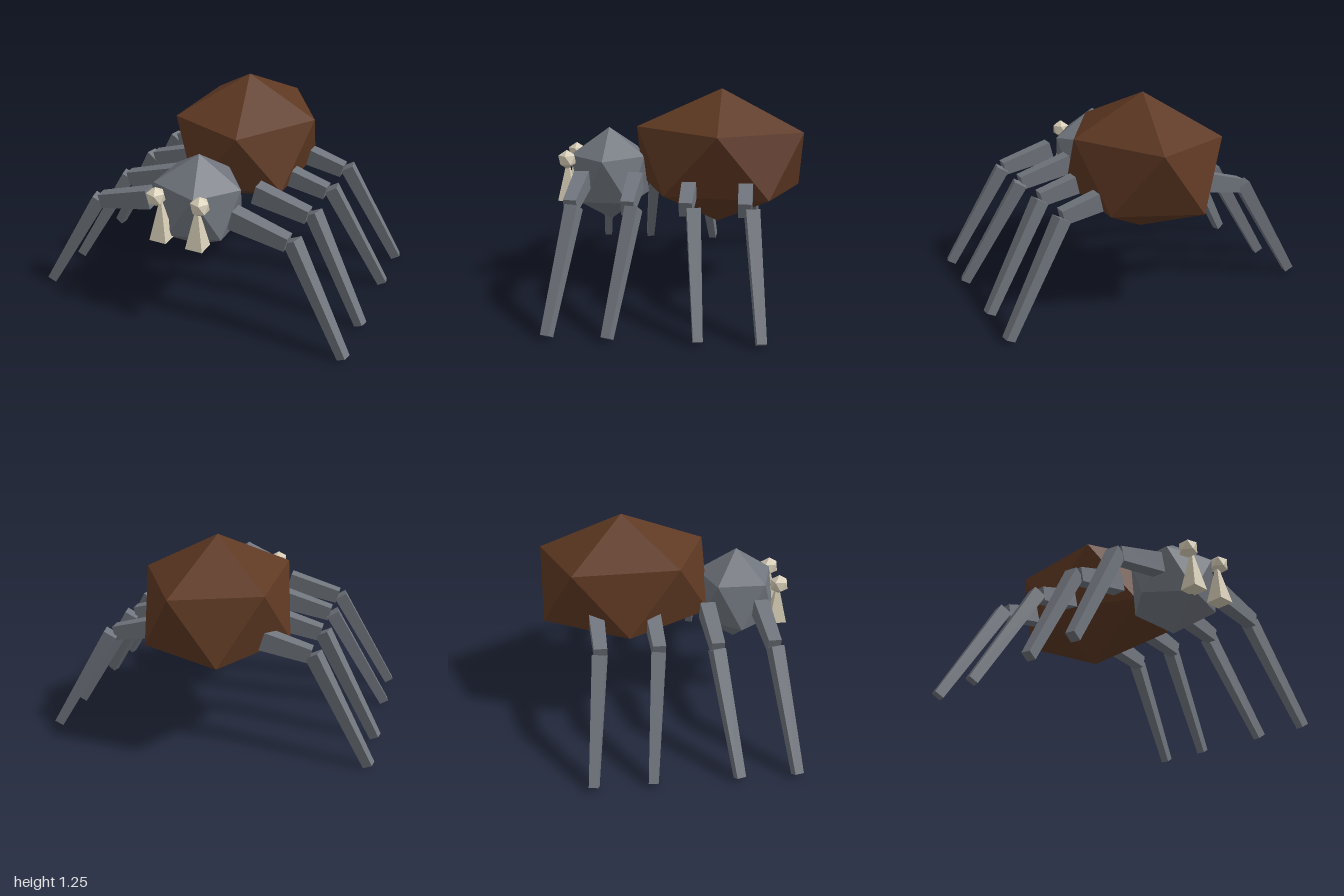
import * as THREE from 'three';
import { ConvexGeometry } from 'three/addons/geometries/ConvexGeometry.js';

function material(name, color) {
  const m = new THREE.MeshStandardMaterial({ color, flatShading: true });
  m.name = name;
  return m;
}

// Twenty-sided ball with a corner straight up; unit radius, second ring offset by 36 degrees
function facetedBall() {
  const points = [new THREE.Vector3(0, 1, 0), new THREE.Vector3(0, -1, 0)];
  const h = 1 / Math.sqrt(5), r = 2 / Math.sqrt(5);
  for (let i = 0; i < 10; i++) {
    const a = i * Math.PI / 5;
    points.push(new THREE.Vector3(r * Math.cos(a), i % 2 ? -h : h, r * Math.sin(a)));
  }
  return new ConvexGeometry(points);
}

// Box running from a to b, with [thickness, width] given at each end
function taperedBeam(a, b, startSize, endSize) {
  const from = new THREE.Vector3(...a), to = new THREE.Vector3(...b);
  const dir = to.clone().sub(from).normalize();
  const ref = Math.abs(dir.y) > 0.99 ? new THREE.Vector3(1, 0, 0) : new THREE.Vector3(0, 1, 0);
  const side = new THREE.Vector3().crossVectors(dir, ref).normalize();
  const up = new THREE.Vector3().crossVectors(side, dir);
  const geometry = new THREE.BoxGeometry(1, 1, 1);
  const pos = geometry.attributes.position;
  for (let i = 0; i < pos.count; i++) {
    const t = pos.getY(i) + 0.5;
    const p = from.clone().lerp(to, t)
      .addScaledVector(side, pos.getX(i) * THREE.MathUtils.lerp(startSize[1], endSize[1], t))
      .addScaledVector(up, pos.getZ(i) * THREE.MathUtils.lerp(startSize[0], endSize[0], t));
    pos.setXYZ(i, p.x, p.y, p.z);
  }
  geometry.computeVertexNormals();
  return geometry;
}

export function createModel() {
  const spider = new THREE.Group();
  spider.name = 'spider';
  const brown = material('brown', 0x5e3822);
  const grey = material('grey', 0x70757d);
  const cream = material('cream', 0xd8cfb8);

  const add = (name, geometry, mat, parent = spider) => {
    const mesh = new THREE.Mesh(geometry, mat);
    mesh.name = name;
    parent.add(mesh);
    return mesh;
  };
  const ball = facetedBall();

  // Body
  const abdomen = add('abdomen', ball, brown);
  abdomen.position.set(0, 0.83, -0.245);
  abdomen.scale.set(0.492, 0.42, 0.591);
  abdomen.rotation.x = -0.022;

  const head = add('head', ball, grey);
  head.position.set(-0.01, 0.7, 0.45);
  head.scale.set(0.298, 0.3, 0.275);
  head.rotation.z = -0.03;

  // Eyes and fangs
  for (const [label, eyeX, fangX] of [['left', 0.125, 0.108], ['right', -0.15, -0.12]]) {
    const eye = add(label + 'Eye', ball, cream);
    eye.position.set(eyeX, 0.813, 0.695);
    eye.scale.setScalar(0.06);
    add(label + 'Fang', taperedBeam([fangX, 0.555, 0.7], [fangX, 0.79, 0.695],
      [0.105, 0.105], [0.014, 0.014]), cream);
  }

  // Legs, front to back: z at hip, end of thigh, knee and foot
  const legs = {
    left: [[0.57, 0.57, 0.545, 0.63], [0.245, 0.243, 0.205, 0.3],
      [-0.085, -0.085, -0.13, -0.185], [-0.415, -0.415, -0.455, -0.52]],
    right: [[0.56, 0.575, 0.575, 0.66], [0.235, 0.25, 0.24, 0.33],
      [-0.1, -0.085, -0.09, -0.155], [-0.43, -0.415, -0.42, -0.485]],
  };
  for (const label of ['left', 'right']) {
    const s = label === 'left' ? 1 : -1;
    legs[label].forEach(([hip, thighEnd, knee, foot], i) => {
      const leg = new THREE.Group();
      leg.name = label + 'Leg' + (i + 1);
      add('thigh', taperedBeam([s * 0.265, 0.717, hip], [s * 0.595, 0.637, thighEnd],
        [0.12, 0.09], [0.085, 0.075]), grey, leg);
      add('shin', taperedBeam([s * 0.61, 0.643, knee], [s * 0.97, 0.016, foot],
        [0.082, 0.078], [0.058, 0.052]), grey, leg);
      spider.add(leg);
    });
  }
  return spider;
}
